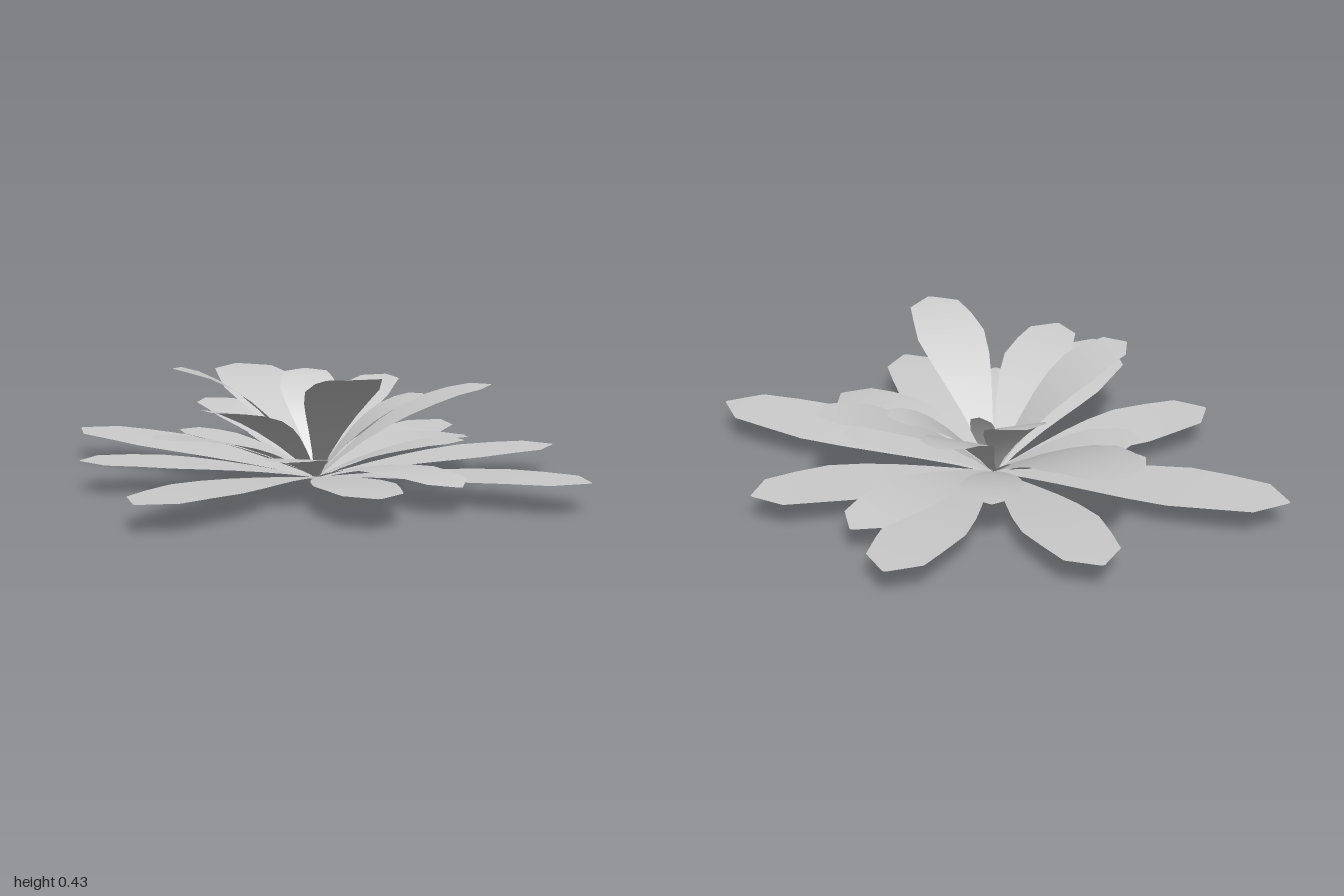
import * as THREE from 'three';

const material = new THREE.MeshStandardMaterial({ color: 0xcccccc, side: THREE.DoubleSide });

// Leaf outline: [fraction of the length, fraction of the half width]
const outline = [
  [0, 0.09], [0.12, 0.24], [0.25, 0.47], [0.38, 0.7], [0.5, 0.88],
  [0.64, 1], [0.78, 0.88], [0.91, 0.73], [1, 0.04],
];

// One arched leaf from the crown to (x, y, z); larger arch makes the tip level off or droop
function leaf(name, x, y, z, halfWidth, arch = 0.9) {
  const length = Math.hypot(x, z);
  const sx = -z / length, sz = x / length;
  const baseY = 0.018;
  const positions = [], index = [];
  outline.forEach(([t, w], i) => {
    const h = baseY + (y - baseY) * ((1 + arch) * t - arch * t * t);
    for (const side of [-1, 0, 1]) {
      const s = side * w * halfWidth;
      positions.push(x * t + sx * s, h, z * t + sz * s);
    }
    if (i === 0) return;
    for (const c of [0, 1]) {
      const a = (i - 1) * 3 + c, b = a + 3;
      index.push(a, a + 1, b, a + 1, b + 1, b);
    }
  });
  // Order the corners so the upper side is the front
  for (let i = 0; i < index.length; i += 3) [index[i + 1], index[i + 2]] = [index[i + 2], index[i + 1]];
  const geometry = new THREE.BufferGeometry();
  geometry.setAttribute('position', new THREE.Float32BufferAttribute(positions, 3));
  geometry.setIndex(index);
  geometry.computeVertexNormals();
  const mesh = new THREE.Mesh(geometry, material);
  mesh.name = name;
  return mesh;
}

// Each tier: [tip x, tip height, tip z, half width, arch], measured from the crown
const tiers = {
  outerLeaf: [
    [1, 0.1, 0, 0.14], [-1, 0.1, 0, 0.14], [0, 0.1, -0.86, 0.13], [0, 0.095, 1, 0.137],
    [0.587, 0.1, -0.587, 0.13], [-0.587, 0.1, -0.587, 0.13],
    [0.587, 0.105, 0.587, 0.13], [-0.56, 0.105, 0.56, 0.135],
  ],
  lowerLeaf: [
    [0.67, 0.09, 0.23, 0.115, 2.6], [0.21, 0.09, -0.65, 0.115, 2.6],
    [-0.58, 0.22, -0.18, 0.11], [-0.2, 0.22, 0.64, 0.11],
    [0.46, 0.16, 0.18 - 0.36, 0.1], [-0.18, 0.16, -0.46, 0.1],
    [0.19, 0.16, 0.49, 0.1], [-0.46, 0.16, 0.14, 0.1],
  ],
  upperLeaf: [
    [-0.61, 0.315, -0.42, 0.15], [0.45, 0.32, -0.39, 0.11],
    [0.41, 0.425, 0.415, 0.12], [-0.335, 0.4, 0.35, 0.11],
    [0, 0.315, 0.605, 0.115],
  ],
  innerLeaf: [
    [0, 0.315, -0.46, 0.105], [-0.225, 0.34, -0.28, 0.1], [0.26, 0.29, -0.26, 0.085],
    [0, 0.27, -0.12, 0.05, 0.3],
  ],
};

export function createModel() {
  const model = new THREE.Group();
  model.name = 'rosettePlant';
  const rosette = new THREE.Group();
  rosette.name = 'rosette';
  rosette.position.z = -0.07;
  model.add(rosette);

  for (const [name, leaves] of Object.entries(tiers)) {
    for (const spec of leaves) rosette.add(leaf(name, ...spec));
  }

  // Small crown holding the leaf bases
  const crown = new THREE.Mesh(new THREE.CylinderGeometry(0.02, 0.014, 0.022, 8), material);
  crown.name = 'crown';
  crown.position.y = 0.011;
  rosette.add(crown);
  return model;
}
